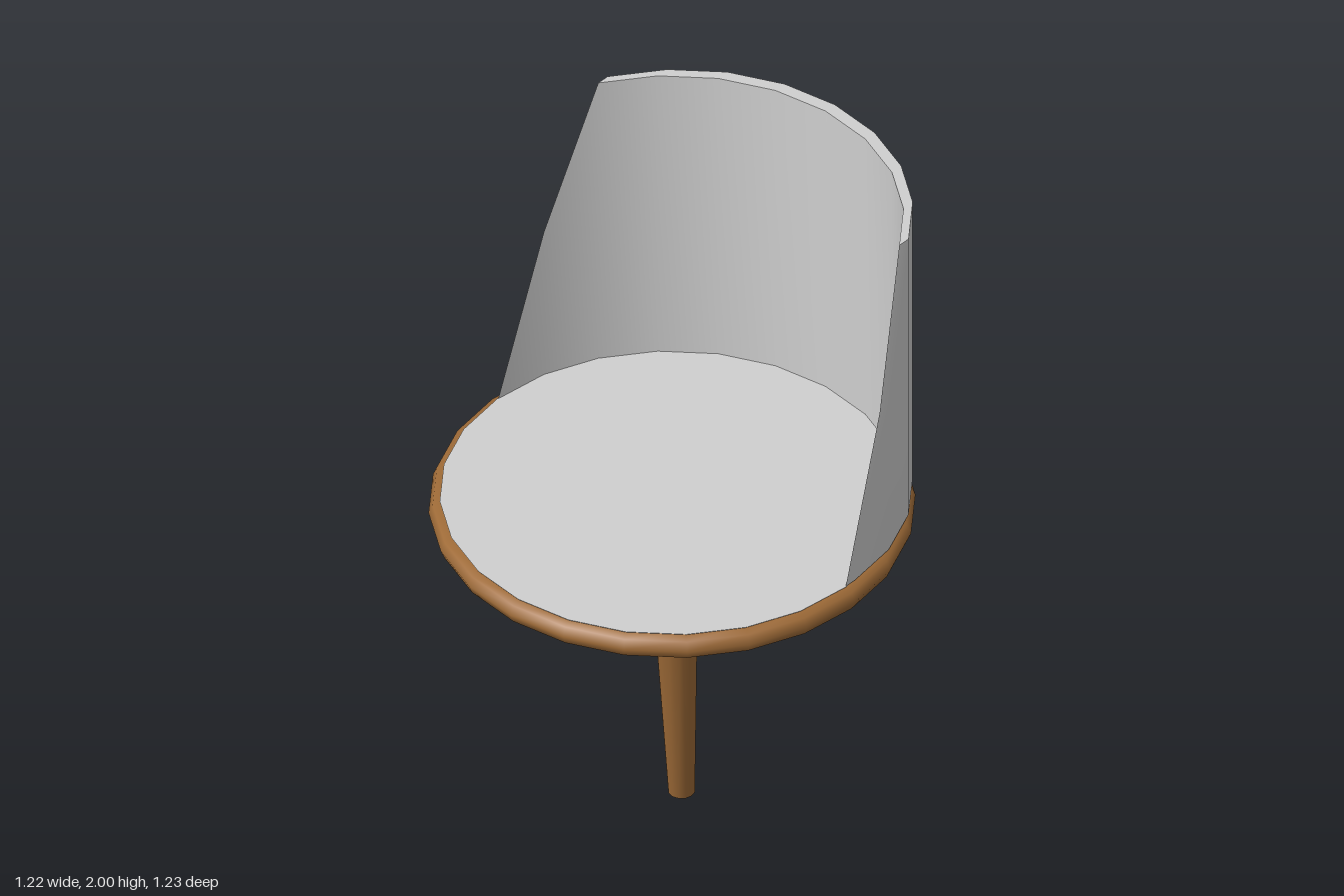
import * as THREE from 'three';
import { toCreasedNormals } from 'three/addons/utils/BufferGeometryUtils.js';

const SEAT_Y = 1.13, RIM_R = 0.035, SIDES = 24;

// Joins two rows of points (left to right along the arc) into a list of triangles.
function strip(out, a, b) {
  for (let i = 0; i < a.length - 1; i++) {
    for (const [p, q, r] of [[a[i], a[i + 1], b[i]], [a[i + 1], b[i + 1], b[i]]]) {
      if (new THREE.Triangle(p, q, r).getArea() > 1e-7) {
        for (const v of [p, q, r]) out.push(v.x, v.y, v.z);
      }
    }
  }
}

// Half-round shell, shifted straight back for thickness, with sloping front edges.
function backrestGeometry() {
  const radius = 0.58, depth = 0.035, height = 2 - SEAT_Y;
  const row = (top, shift) => Array.from({ length: SIDES / 2 + 1 }, (_, i) => {
    const t = (i * 2 * Math.PI) / SIDES;
    const rise = top ? height * Math.min(1, Math.sin(t) / 0.5) : 0;
    return new THREE.Vector3(Math.cos(t) * radius, SEAT_Y + rise, -Math.sin(t) * radius - shift);
  });
  const innerLow = row(false, 0), innerTop = row(true, 0);
  const outerLow = row(false, depth), outerTop = row(true, depth);
  const points = [];
  strip(points, outerLow, outerTop);
  strip(points, innerTop, innerLow);
  strip(points, outerTop, innerTop);
  strip(points, innerLow, outerLow);
  const geo = new THREE.BufferGeometry();
  geo.setAttribute('position', new THREE.Float32BufferAttribute(points, 3));
  return toCreasedNormals(geo, Math.PI / 6);
}

// Tapered leg, sheared so both ends stay level.
function legGeometry() {
  const height = 1.1;
  const geo = new THREE.CylinderGeometry(0.069, 0.034, height, 12);
  geo.translate(0, height / 2, 0);
  const pos = geo.attributes.position;
  for (let i = 0; i < pos.count; i++) {
    const k = 1 - pos.getY(i) / height;
    pos.setX(i, pos.getX(i) - 0.145 * k);
    pos.setZ(i, pos.getZ(i) - 0.2 * k);
  }
  return toCreasedNormals(geo, Math.PI / 4);
}

export function createModel() {
  const model = new THREE.Group();
  model.name = 'chair';

  const fabric = new THREE.MeshStandardMaterial({ color: 0xcfcfcf });
  fabric.name = 'light grey';
  const wood = new THREE.MeshStandardMaterial({ color: 0xa06c38 });
  wood.name = 'wood brown';

  const add = (name, geo, mat) => {
    const mesh = new THREE.Mesh(geo, mat);
    mesh.name = name;
    model.add(mesh);
    return mesh;
  };

  // Round seat plate, its top a hair above the crest of the rim
  const seat = add('seat', new THREE.CylinderGeometry(0.582, 0.56, 0.032, SIDES), fabric);
  seat.position.y = SEAT_Y - 0.0155;

  // Rounded wooden rim around the seat
  const rim = new THREE.TorusGeometry(0.575, RIM_R, 8, SIDES);
  rim.rotateX(Math.PI / 2);
  add('seatRim', rim, wood).position.y = SEAT_Y - RIM_R;

  add('backrest', backrestGeometry(), fabric);
  add('leg', legGeometry(), wood);

  return model;
}
